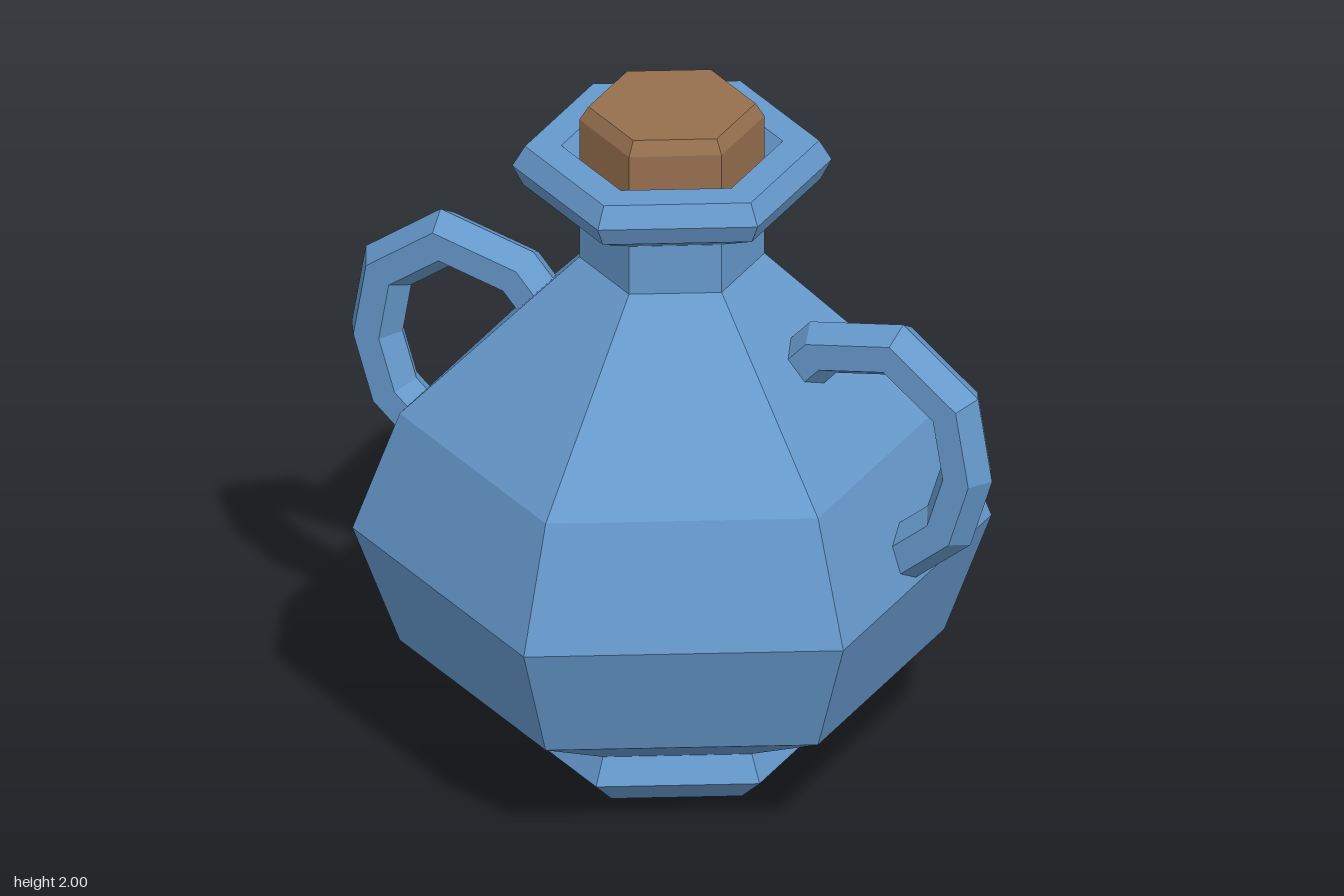
import * as THREE from 'three';

const SIDES = 6;

// Six-sided turned part; corners point along +z and -z
function turned(name, profile, material) {
  const points = profile.map(([r, y]) => new THREE.Vector2(r, y));
  const mesh = new THREE.Mesh(new THREE.LatheGeometry(points, SIDES), material);
  mesh.name = name;
  return mesh;
}

// Mitred hexagonal bar swept along a path in the xy plane
function sweptBar(path, radius) {
  const pts = path.map(([x, y]) => new THREE.Vector2(x, y));
  const positions = [], index = [];
  pts.forEach((p, i) => {
    const before = p.clone().sub(pts[Math.max(i - 1, 0)]).normalize();
    const after = pts[Math.min(i + 1, pts.length - 1)].clone().sub(p).normalize();
    const t = before.clone().add(after).normalize();
    const along = i === 0 ? after : before;
    const reach = radius / t.dot(along);
    for (let s = 0; s < SIDES; s++) {
      const a = (s / SIDES) * Math.PI * 2;
      const out = Math.cos(a) * reach;
      positions.push(p.x - t.y * out, p.y + t.x * out, Math.sin(a) * radius);
    }
  });
  for (let i = 0; i < pts.length - 1; i++) {
    for (let s = 0; s < SIDES; s++) {
      const a = i * SIDES + s, b = i * SIDES + (s + 1) % SIDES;
      index.push(a, a + SIDES, b, b, a + SIDES, b + SIDES);
    }
  }
  // End caps
  const last = (pts.length - 1) * SIDES;
  for (let s = 1; s < SIDES - 1; s++) {
    index.push(0, s, s + 1, last, last + s + 1, last + s);
  }
  // Keep faces pointing outward
  for (let k = 0; k < index.length; k += 3) {
    [index[k + 1], index[k + 2]] = [index[k + 2], index[k + 1]];
  }
  const geometry = new THREE.BufferGeometry();
  geometry.setAttribute('position', new THREE.Float32BufferAttribute(positions, 3));
  geometry.setIndex(index);
  geometry.computeVertexNormals();
  return geometry;
}

export function createModel() {
  const glaze = new THREE.MeshStandardMaterial({ color: 0x6699cc, flatShading: true });
  glaze.name = 'blue glaze';
  const wood = new THREE.MeshStandardMaterial({ color: 0x966f4e, flatShading: true });
  wood.name = 'cork brown';

  const group = new THREE.Group();
  group.name = 'stopperedJar';

  // Foot, belly, neck and hollow rim in one profile
  group.add(turned('jarBody', [
    [0, 0], [0.36, 0], [0.45, 0.08], [0.41, 0.155],
    [0.75, 0.34], [0.88, 0.695], [0.75, 1.05], [0.255, 1.53],
    [0.255, 1.68], [0.41, 1.76], [0.44, 1.82], [0.405, 1.88],
    [0.305, 1.88], [0.25, 1.8], [0, 1.8],
  ], glaze));

  // Bevelled stopper
  group.add(turned('stopper', [
    [0.255, 1.79], [0.255, 1.96], [0.23, 2], [0, 2],
  ], wood));

  // Two side handles, their ends sunk into the belly
  const handleGeometry = sweptBar([
    [0.37, 1.25], [0.47, 1.36], [0.7, 1.41], [0.88, 1.275],
    [0.915, 1.075], [0.86, 0.9], [0.69, 0.755],
  ], 0.077);
  for (const side of ['left', 'right']) {
    const handle = new THREE.Mesh(handleGeometry, glaze);
    handle.name = side + 'Handle';
    if (side === 'right') handle.rotation.y = Math.PI;
    group.add(handle);
  }
  return group;
}
